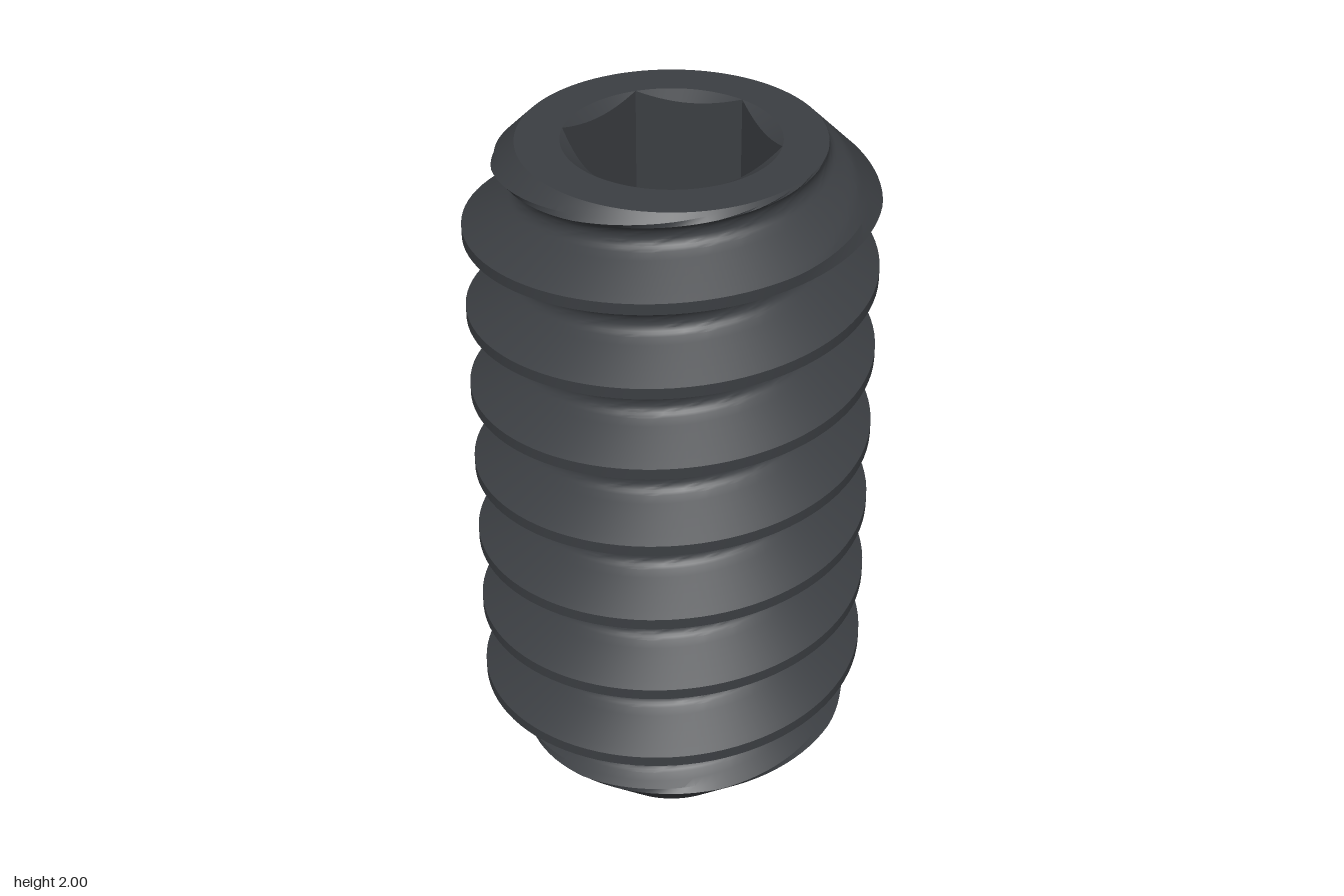
import * as THREE from 'three';
import { toCreasedNormals } from 'three/addons/utils/BufferGeometryUtils.js';

const SEGMENTS = 96;
const HEIGHT = 2, PITCH = 0.234;
const ROOT_R = 0.39, CREST_R = 0.53, FILLET = 0.037, FIRST_ROOT = 0.119;
const TIP_R = 0.224, TOP_R = 0.39, CUP_DEPTH = 0.13;
const HEX_R = 0.277, SOCKET_DEPTH = 0.61;

const material = new THREE.MeshStandardMaterial({ color: 0x3b3e42 });

// Skins the cross-sections profile(angle) = [[radius, y], ...] around the y axis.
function sweep(name, profile, crease) {
  const columns = [];
  for (let i = 0; i <= SEGMENTS; i++) {
    const a = (i / SEGMENTS) * Math.PI * 2;
    columns.push(profile(a, i).map(([r, y]) => new THREE.Vector3(r * Math.cos(a), y, -r * Math.sin(a))));
  }
  const positions = [];
  const triangle = (a, b, c) => {
    const area = b.clone().sub(a).cross(c.clone().sub(a)).length();
    if (area > 1e-9) for (const p of [a, b, c]) positions.push(p.x, p.y, p.z);
  };
  for (let i = 0; i < SEGMENTS; i++) {
    const left = columns[i], right = columns[i + 1];
    for (let j = 0; j < left.length - 1; j++) {
      triangle(left[j], right[j], right[j + 1]);
      triangle(left[j], right[j + 1], left[j + 1]);
    }
  }
  const geometry = new THREE.BufferGeometry();
  geometry.setAttribute('position', new THREE.Float32BufferAttribute(positions, 3));
  const mesh = new THREE.Mesh(toCreasedNormals(geometry, crease), material);
  mesh.name = name;
  return mesh;
}

// One pitch of a 60 degree thread: rounded root, flank, flat crest, flank.
function threadPitch() {
  const points = [];
  for (let k = -5; k <= 5; k++) {
    const a = (k / 5) * Math.PI / 3;
    points.push([ROOT_R + FILLET * (1 - Math.cos(a)), FILLET * Math.sin(a)]);
  }
  const [r0, y0] = points[points.length - 1];
  const rise = (CREST_R - r0) / Math.sqrt(3);
  const steps = 6;
  for (let k = 1; k <= steps; k++) {
    points.push([r0 + (CREST_R - r0) * k / steps, y0 + rise * k / steps]);
  }
  for (let k = steps; k > 0; k--) {
    points.push([r0 + (CREST_R - r0) * k / steps, PITCH - y0 - rise * k / steps]);
  }
  return points;
}

export function createModel() {
  const group = new THREE.Group();
  group.name = 'setScrew';

  // Threaded shank, trimmed by 45 degree cones at both ends
  const pitch = threadPitch();
  group.add(sweep('threadedShank', (angle) => {
    const column = [];
    for (let turn = -2; turn <= 9; turn++) {
      for (const [r, s] of pitch) {
        const raw = FIRST_ROOT + s + PITCH * (turn + angle / (Math.PI * 2));
        const y = THREE.MathUtils.clamp(raw, 0, HEIGHT);
        column.push([Math.min(r, TIP_R + y, TOP_R + HEIGHT - y), y]);
      }
    }
    return column;
  }, 0.24));

  // Hollow conical cup in the tip
  group.add(sweep('cupPoint', () => [[0, CUP_DEPTH], [TIP_R, 0]], 0.3));

  // Flat ring around the socket
  group.add(sweep('topFace', () => [[TOP_R, HEIGHT], [HEX_R, HEIGHT]], 0.3));

  // Hexagonal socket with a shallow countersink
  const perSide = SEGMENTS / 6;
  group.add(sweep('hexSocket', (angle, i) => {
    const offset = ((i % perSide) / perSide - 0.5) * Math.PI / 3;
    const r = HEX_R * Math.cos(Math.PI / 6) / Math.cos(offset);
    const lip = HEIGHT - (HEX_R - r) * Math.tan(Math.PI / 6);
    const floor = HEIGHT - SOCKET_DEPTH;
    return [[HEX_R, HEIGHT], [r, lip], [r, floor], [0, floor]];
  }, 0.3));

  return group;
}
